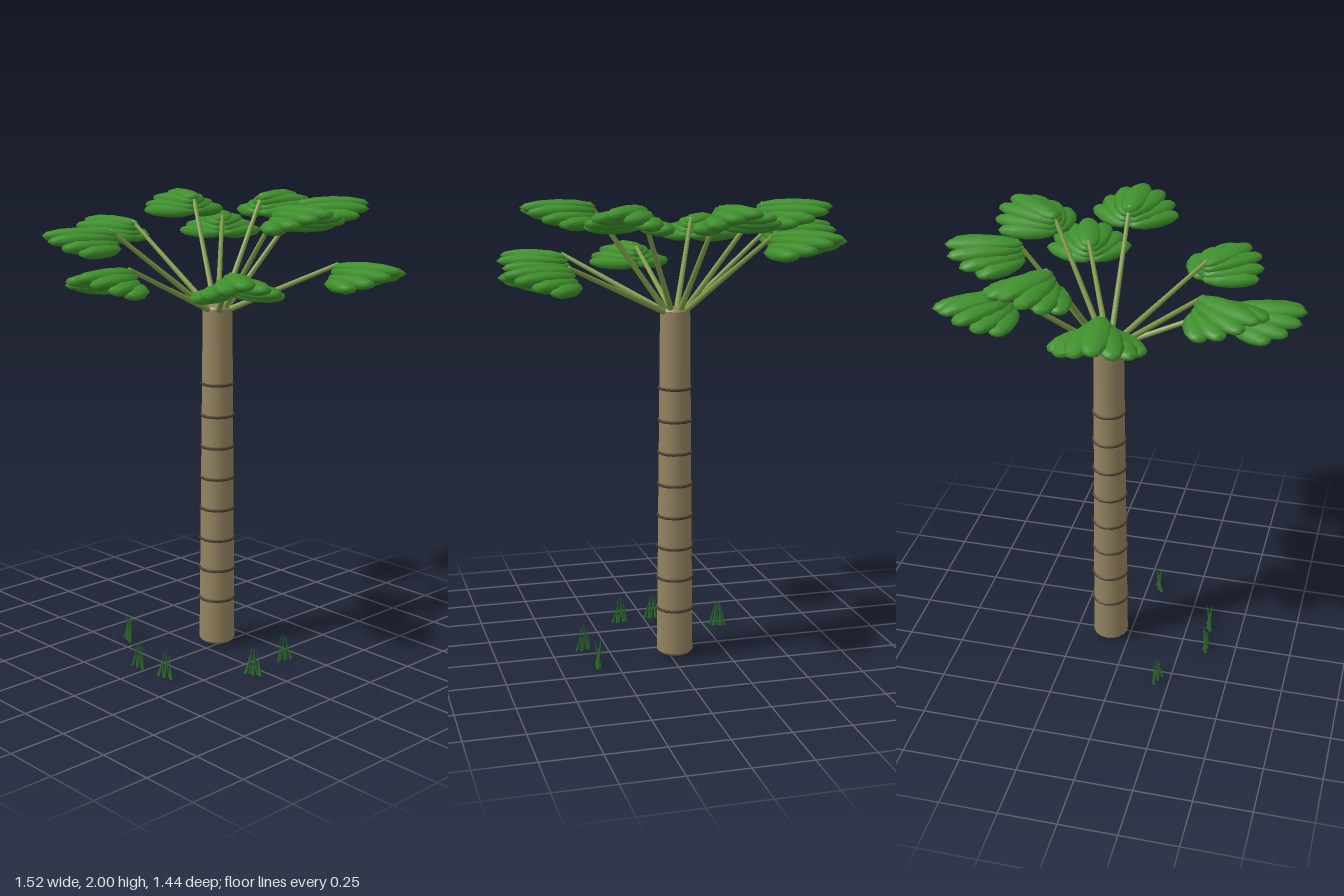
import * as THREE from 'three';

const mat = (name, color) => {
  const m = new THREE.MeshStandardMaterial({ color });
  m.name = name;
  return m;
};
const deg = Math.PI / 180;

export function createModel() {
  const model = new THREE.Group();
  const bark = mat('bark', 0x94835f);
  const ringBrown = mat('ring brown', 0x4d3f30);
  const stemGreen = mat('stem green', 0x7f9a48);
  const leafGreen = mat('leaf green', 0x3f902c);
  const grassGreen = mat('grass green', 0x2b702b);

  const add = (parent, name, geo, material) => {
    const m = new THREE.Mesh(geo, material);
    m.name = name;
    parent.add(m);
    return m;
  };

  // Rod between two points
  const rod = (parent, name, a, b, rA, rB, sides, material) => {
    const d = b.clone().sub(a);
    const m = add(parent, name, new THREE.CylinderGeometry(rB, rA, d.length(), sides), material);
    m.position.copy(a).addScaledVector(d, 0.5);
    m.quaternion.setFromUnitVectors(new THREE.Vector3(0, 1, 0), d.normalize());
    return m;
  };

  // Palm: trunk axis is offset from the centre
  const palm = new THREE.Group();
  palm.name = 'palm';
  palm.position.set(-0.025, 0, -0.09);
  model.add(palm);

  // Trunk with small bevels at both ends
  const trunkR = (y) => 0.08 - 0.0105 * y;
  const profile = [[0, 0.015], [0.07, 0.015], [0.079, 0.025], [0.064, 1.53], [0.058, 1.54], [0, 1.54]];
  const trunk = new THREE.LatheGeometry(profile.map(p => new THREE.Vector2(...p)), 16).toNonIndexed();
  add(palm, 'trunk', trunk, bark);

  // Trunk rings
  for (let i = 0; i < 8; i++) {
    const y = 0.22 + i * 0.14;
    const ring = add(palm, 'trunkRing', new THREE.TorusGeometry(trunkR(y), 0.007, 6, 16), ringBrown);
    ring.rotation.x = Math.PI / 2;
    ring.position.y = y;
  }

  // Leaflet: stretched sphere with its poles at base and tip, base at the origin
  const leaflet = new THREE.SphereGeometry(0.5, 8, 6).rotateZ(-Math.PI / 2).translate(0.5, 0, 0);
  const fan = [ // angle, length, height
    [0, 0.315, 0.031], [15, 0.31, 0.014], [30, 0.285, -0.01], [46, 0.25, -0.029],
  ];

  // Fronds: angle, distance of the leaf base, leaf height, twist of the leaf
  const fronds = [
    [0, 0.335, 1.938, 0], [53, 0.335, 1.938, 0], [104, 0.335, 1.938, 0], [154, 0.335, 1.938, 4],
    [134, 0.44, 1.83, 5], [191, 0.435, 1.83, -3], [246, 0.44, 1.83, -7],
    [274, 0.495, 1.70, 0], [322, 0.5, 1.70, 6], [23.5, 0.51, 1.70, -7],
  ];
  for (const [angle, r, y, twist] of fronds) {
    const frond = new THREE.Group();
    frond.name = 'frond';
    frond.rotation.y = angle * deg;
    palm.add(frond);
    rod(frond, 'stem', new THREE.Vector3(0.03, 1.515, 0), new THREE.Vector3(r + 0.03, y + 0.045, 0),
      0.013, 0.009, 8, stemGreen);

    const leaf = new THREE.Group();
    leaf.name = 'leaf';
    leaf.position.set(r, y, 0);
    leaf.rotation.y = twist * deg;
    frond.add(leaf);
    for (const [a, length, h] of fan) {
      for (const side of a ? [-1, 1] : [1]) {
        const l = add(leaf, 'leaflet', leaflet, leafGreen);
        l.scale.set(length, 0.062, 0.12);
        l.rotation.y = side * a * deg;
        l.position.y = h;
      }
    }
  }

  // Grass tufts: x, z, turn of the row of blades
  const tufts = [[-0.31, 0.195, -21], [-0.04, 0.365, 0], [0.12, 0.35, 11], [0.355, 0.055, 24], [0.335, -0.155, 80]];
  for (const [x, z, turn] of tufts) {
    const tuft = new THREE.Group();
    tuft.name = 'grassTuft';
    tuft.position.set(x, 0, z);
    tuft.rotation.y = turn * deg;
    model.add(tuft);
    for (let i = -2; i <= 2; i++) {
      const lean = i % 2 ? 0.012 : -0.012;
      rod(tuft, 'blade', new THREE.Vector3(i * 0.017, 0, -lean * 0.5),
        new THREE.Vector3(i * 0.005, 0.122 - Math.abs(i) * 0.005, lean), 0.007, 0.0008, 4, grassGreen);
    }
  }
  trunk.computeVertexNormals();
  smoothSides(trunk);
  return model;
}

// Smooth normals around the trunk, keeping the bevel edges sharp
function smoothSides(geo) {
  const p = geo.attributes.position, n = geo.attributes.normal;
  for (let i = 0; i < p.count; i++) {
    const x = p.getX(i), z = p.getZ(i), r = Math.hypot(x, z);
    if (r < 1e-4 || Math.abs(n.getY(i)) > 0.95) continue;
    const flat = Math.hypot(n.getX(i), n.getZ(i));
    n.setXYZ(i, x / r * flat, n.getY(i), z / r * flat);
  }
}
